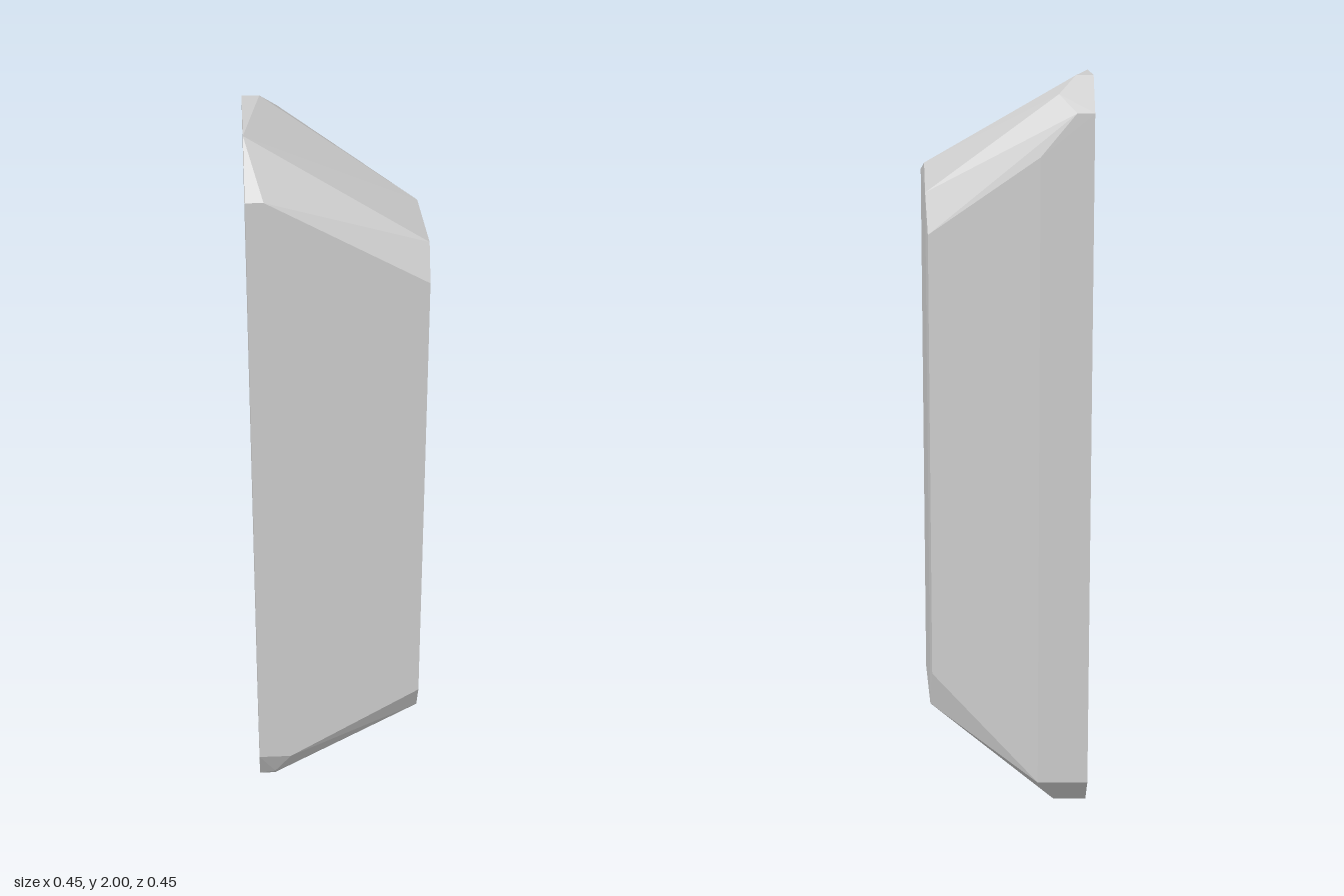
import * as THREE from 'three';
import { ConvexGeometry } from 'three/addons/geometries/ConvexGeometry.js';

// Faceted stone shard: a flat-cut block with slanted, chamfered ends
export function createModel() {
  const L = -0.227, R = 0.227, F = 0.227, B = -0.227;

  // Upper end, falling from the left edge to the right
  const topCorners = [
    [L, 2, 0.135], [L, 2, -0.137], [-0.182, 2, -0.137],
    [-0.137, 1.955, -0.184], [L, 1.91, B], [-0.182, 1.91, B], [-0.09, 1.8, B],
    [L, 1.865, F], [-0.182, 1.865, F],
    [R, 1.73, 0.18], [R, 1.64, F],
    [0.212, 1.765, 0], [0.205, 1.705, -0.166], [0.198, 1.6, -0.199],
  ];

  // Lower end, rising toward the right
  const bottomCorners = [
    [L, 0, 0.137], [L, 0, -0.137], [-0.137, 0, 0.09], [-0.137, 0, -0.137],
    [-0.182, 0, 0.137], [-0.182, 0.045, 0.182],
    [L, 0.09, B], [-0.09, 0.09, B],
    [L, 0.137, F], [-0.137, 0.137, F],
    [R, 0.277, 0.182], [R, 0.365, F],
    [0.205, 0.3, -0.166], [0.198, 0.4, -0.199],
  ];

  const points = [...topCorners, ...bottomCorners].map((p) => new THREE.Vector3(...p));
  const stone = new THREE.Mesh(
    new ConvexGeometry(points),
    new THREE.MeshStandardMaterial({ color: 0xcccccc, flatShading: true }),
  );
  stone.name = 'stoneShard';

  const group = new THREE.Group();
  group.name = 'stone';
  group.add(stone);
  return group;
}
